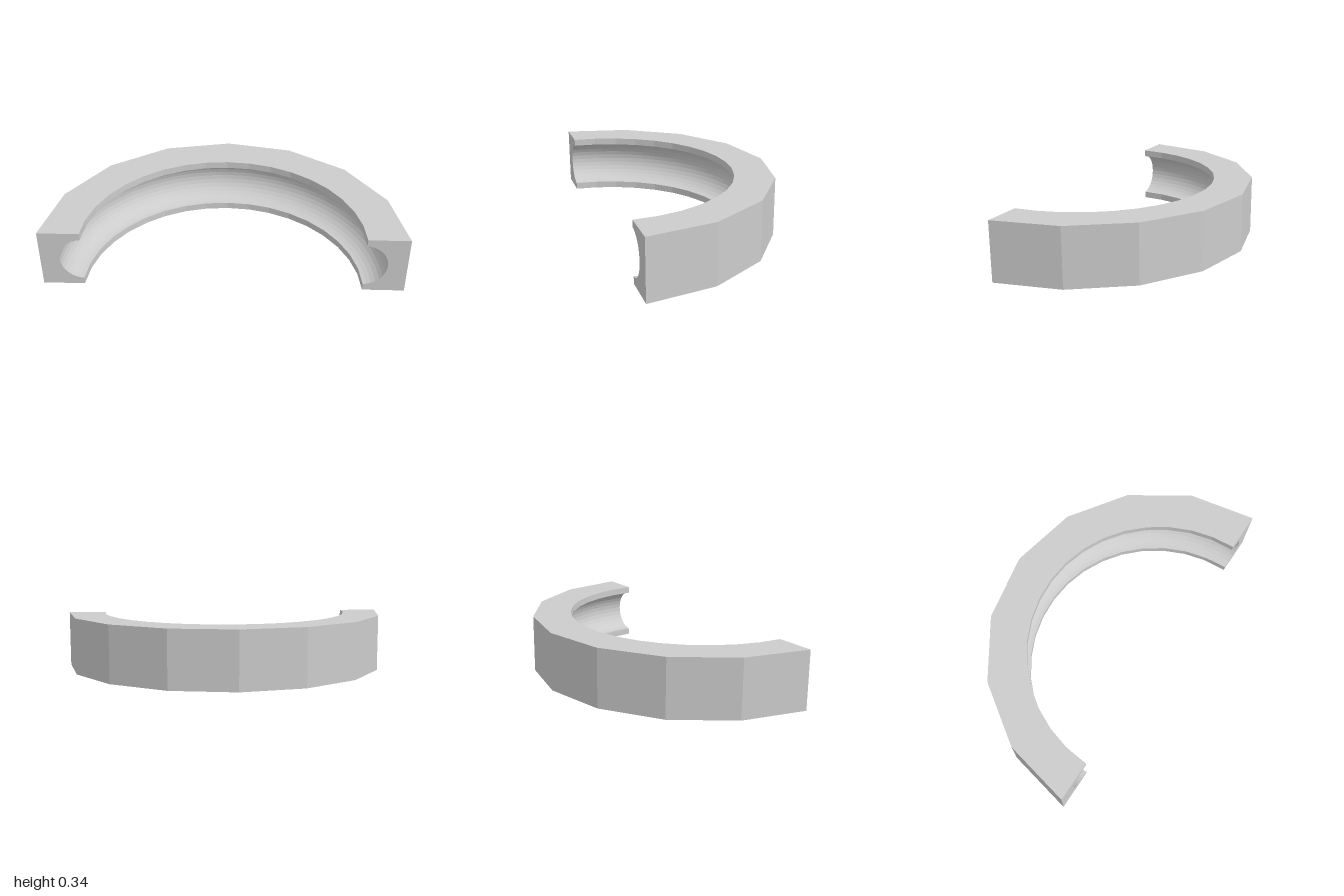
import * as THREE from 'three';

const HEIGHT = 0.34, MID = HEIGHT / 2, CENTRE_Z = 0.5;
const GROOVE_RING = 0.763, GROOVE_TUBE = 0.13, ARC_STEPS = 16;
const STEPS = 144; // divisible by the 8 outer and 18 inner facets

// Radius of a half-circle polygon with the given facet count, at angle t
function facetRadius(radius, facets, t) {
  const step = Math.PI / facets;
  const index = Math.min(Math.floor(t / step + 1e-6), facets - 1);
  return radius * Math.cos(step / 2) / Math.cos(t - (index + 0.5) * step);
}

// C-shaped cross-section [radius, y] at angle t, counter-clockwise
function section(t) {
  const outer = facetRadius(1, 8, t), inner = facetRadius(0.77, 18, t);
  const points = [[outer, 0], [outer, HEIGHT], [inner, HEIGHT]];
  for (let i = 0; i <= ARC_STEPS; i++) {
    const a = Math.PI / 2 - Math.PI * i / ARC_STEPS;
    points.push([
      Math.max(inner, GROOVE_RING + GROOVE_TUBE * Math.cos(a)),
      MID + GROOVE_TUBE * Math.sin(a),
    ]);
  }
  points.push([inner, 0]);
  return points;
}

// Sweep the section through half a turn
function sweepGeometry() {
  const positions = [], indices = [];
  const count = section(0).length;
  for (let i = 0; i <= STEPS; i++) {
    const t = Math.PI * i / STEPS;
    for (const [r, y] of section(t)) {
      positions.push(r * Math.cos(t), y, CENTRE_Z - r * Math.sin(t));
    }
  }
  for (let i = 0; i < STEPS; i++) {
    for (let j = 0; j < count; j++) {
      const k = (j + 1) % count;
      const a = i * count + j, b = a + count;
      const c = i * count + k, d = c + count;
      indices.push(a, b, c, b, d, c);
    }
  }
  const indexed = new THREE.BufferGeometry();
  indexed.setAttribute('position', new THREE.Float32BufferAttribute(positions, 3));
  indexed.setIndex(indices);
  const geometry = indexed.toNonIndexed();
  geometry.computeVertexNormals();
  return geometry;
}

export function createModel() {
  const model = new THREE.Group();
  model.name = 'groovedHalfRing';
  const material = new THREE.MeshStandardMaterial({ color: 0xcccccc, flatShading: true });

  // Half ring: faceted outside, rounded groove inside
  const body = new THREE.Mesh(sweepGeometry(), material);
  body.name = 'halfRing';
  model.add(body);

  // Flat cut faces at both ends
  for (const [side, name] of [[1, 'leftEndFace'], [-1, 'rightEndFace']]) {
    const shape = new THREE.Shape(section(0).map(([r, y]) => new THREE.Vector2(side * r, y)));
    const cap = new THREE.Mesh(new THREE.ShapeGeometry(shape), material);
    cap.name = name;
    cap.position.z = CENTRE_Z;
    model.add(cap);
  }
  return model;
}
